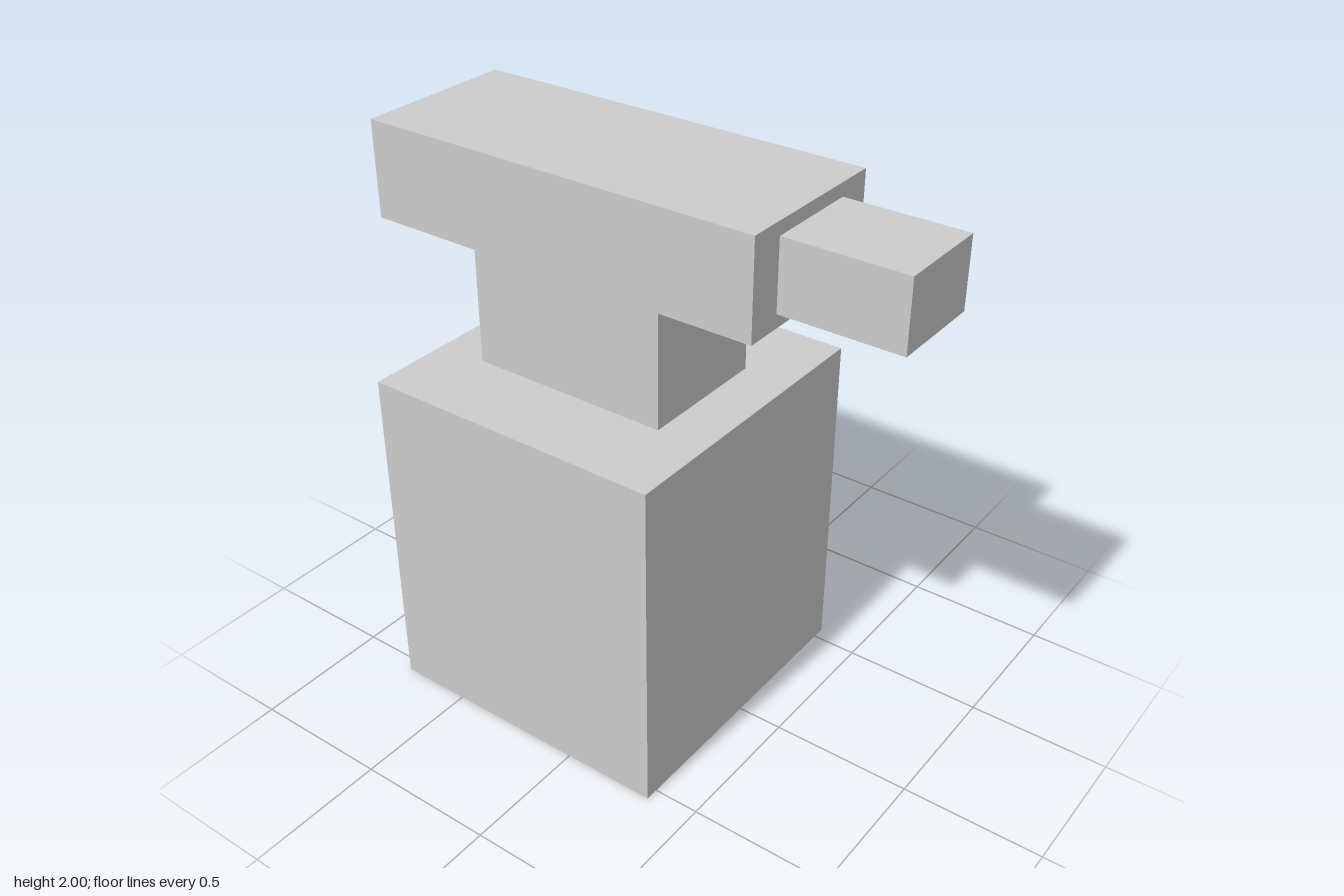
import * as THREE from 'three';

export function createModel() {
  const group = new THREE.Group();
  group.name = 'anvil';
  const grey = new THREE.MeshStandardMaterial({ color: 0xcccccc });
  grey.name = 'light grey';

  // Box given by its x and y extents and its full depth, centred on z = 0
  const addBlock = (name, x0, x1, y0, y1, depth) => {
    const mesh = new THREE.Mesh(new THREE.BoxGeometry(x1 - x0, y1 - y0, depth), grey);
    mesh.position.set((x0 + x1) / 2, (y0 + y1) / 2, 0);
    mesh.name = name;
    group.add(mesh);
  };

  addBlock('base', -0.757, 0.337, 0, 1.222, 1.095);
  addBlock('waist', -0.577, 0.154, 1.222, 1.663, 0.482);
  addBlock('body', -0.939, 0.52, 1.663, 2, 0.586);
  addBlock('horn', 0.52, 0.939, 1.71, 1.953, 0.335);

  return group;
}
